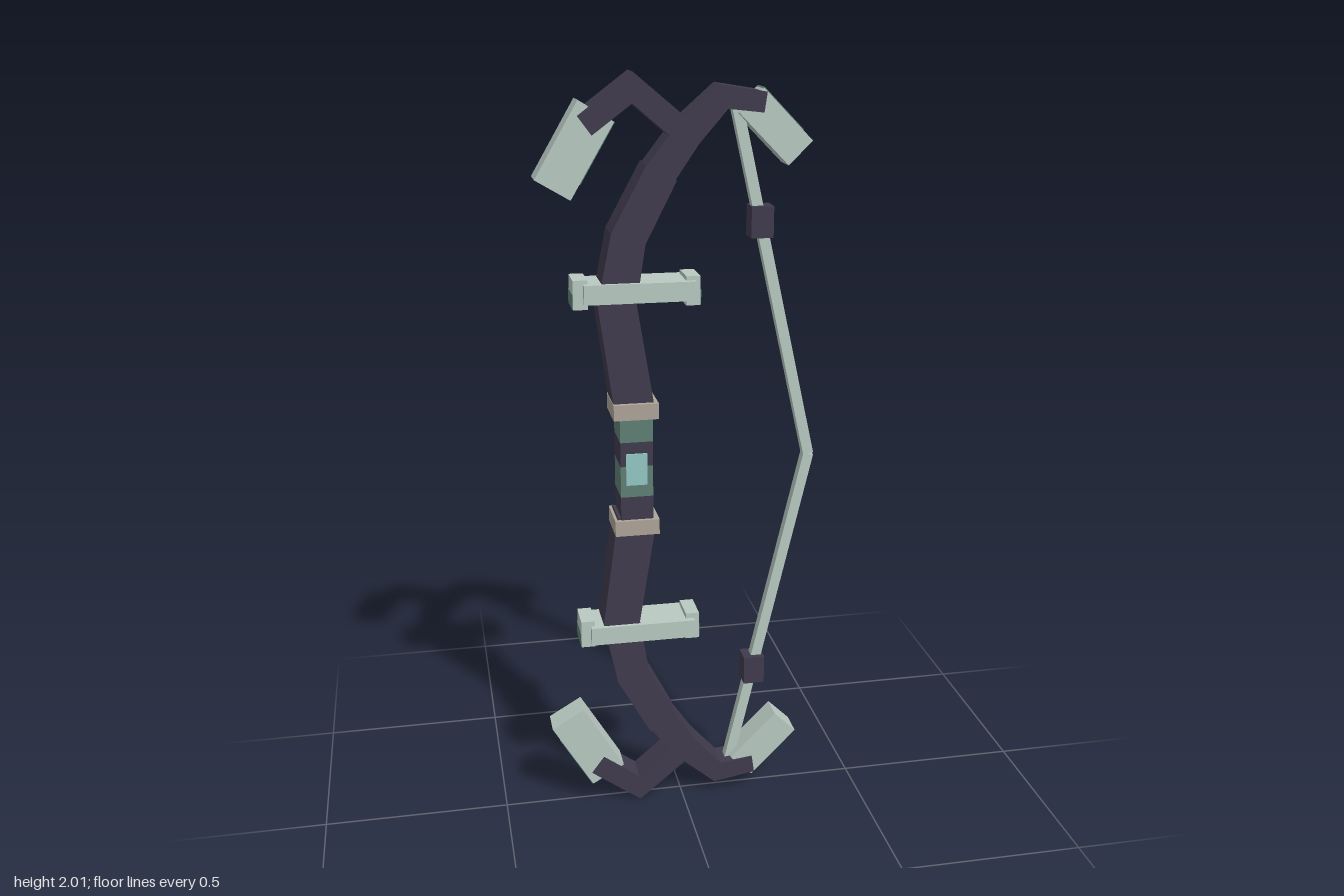
import * as THREE from 'three';

const mat = (name, color) => Object.assign(new THREE.MeshStandardMaterial({ color }), { name });

export function createModel() {
  const dark = mat('dark frame', 0x403b4d);
  const pale = mat('pale plating', 0xb9cac2);
  const green = mat('green trim', 0x5f7f74);
  const beige = mat('beige band', 0xaea598);
  const cyan = mat('cyan gem', 0x93c9c5);
  const bow = new THREE.Group();
  bow.name = 'bow';

  const box = (parent, name, m, x, y, w, h, d, angle = 0) => {
    const mesh = new THREE.Mesh(new THREE.BoxGeometry(w, h, d), m);
    mesh.name = name;
    mesh.position.set(x, y, 0);
    mesh.rotation.z = angle;
    parent.add(mesh);
    return mesh;
  };

  // Square-edged beam along points [x, y, width], with mitred joints
  const beam = (parent, name, pts, depth, m = dark) => {
    const a = [], b = [];
    pts.forEach(([x, y, w], i) => {
      const p = pts[Math.max(i - 1, 0)], q = pts[Math.min(i + 1, pts.length - 1)];
      const d1 = new THREE.Vector2(x - p[0], y - p[1]).normalize();
      const d2 = new THREE.Vector2(q[0] - x, q[1] - y).normalize();
      const t = d1.clone().add(d2).normalize();
      const end = i === 0 || i === pts.length - 1;
      const k = w / 2 / (end ? 1 : t.dot(d1));
      a.push(new THREE.Vector2(x - t.y * k, y + t.x * k));
      b.unshift(new THREE.Vector2(x + t.y * k, y - t.x * k));
    });
    const geo = new THREE.ExtrudeGeometry(new THREE.Shape([...a, ...b]), { depth, bevelEnabled: false });
    geo.translate(0, 0, -depth / 2);
    const mesh = new THREE.Mesh(geo, m);
    mesh.name = name;
    parent.add(mesh);
  };

  // Pale blade between two points; side picks the face carrying the green inlay
  const blade = (parent, name, x1, y1, x2, y2, w, d, side) => {
    const g = new THREE.Group();
    g.name = name;
    const len = Math.hypot(x2 - x1, y2 - y1);
    box(g, name + 'Body', pale, 0, 0, len, w, d);
    box(g, name + 'Inlay', green, -len * 0.1, side * w / 2, len * 0.8, 0.005, d - 0.005);
    g.position.set((x1 + x2) / 2, (y1 + y2) / 2, 0);
    g.rotation.z = Math.atan2(y2 - y1, x2 - x1);
    parent.add(g);
  };

  // Both halves, s = 1 upper and s = -1 lower, mirrored about y = 1
  for (const s of [1, -1]) {
    const half = new THREE.Group();
    half.name = s > 0 ? 'upperHalf' : 'lowerHalf';
    const Y = (y) => 1 + s * (y - 1);
    const path = (pts) => pts.map(([x, y, w]) => [x, Y(y), w]);

    // Curved limb, thinner tip and branching hook
    beam(half, 'limb', path([[-0.125, 1.14, 0.105], [-0.17, 1.44, 0.098],
      [-0.14, 1.605, 0.09], [-0.055, 1.765, 0.085]]), 0.098);
    beam(half, 'limbTip', path([[-0.065, 1.75, 0.08], [0.012, 1.855, 0.072],
      [0.102, 1.943, 0.055], [0.206, 1.928, 0.05]]), 0.084);
    beam(half, 'hook', path([[0.015, 1.85, 0.06], [-0.124, 1.967, 0.058], [-0.242, 1.88, 0.058]]), 0.082);

    // Blades
    blade(half, 'hookBlade', -0.213, Y(1.914), -0.323, Y(1.728), 0.102, 0.076, 1);
    blade(half, 'tipBlade', 0.172, Y(1.932), 0.299, Y(1.803), 0.085, 0.074, s > 0 ? 1 : -1 * -1 * -1);

    // Crossbar with end blocks and trim
    box(half, 'crossbar', pale, -0.112, Y(1.47), 0.285, 0.05, 0.12);
    for (const [x, e] of [[-0.262, -1], [0.026, 1]]) {
      box(half, 'crossbarEnd', pale, x, Y(1.468), 0.037, 0.075, 0.088);
      box(half, 'crossbarTrim', green, x + e * 0.018, Y(1.468) - 0.017, 0.005, 0.038, 0.084);
    }

    // Grip band
    box(half, 'gripBand', beige, -0.126, Y(1.16), 0.118, 0.042, 0.124);

    // String and its bead
    beam(half, 'string', path([[0.142, 1.915, 0.028], [0.35, 1.0, 0.028]]), 0.028, pale);
    box(half, 'stringBead', dark, 0.207, Y(1.632), 0.058, 0.08, 0.058);
    bow.add(half);
  }

  // Grip stack, alternating green and dark
  const grip = [[1.14, 1.076, green], [1.076, 1.01, dark], [1.01, 0.925, green], [0.925, 0.86, dark]];
  for (const [top, bottom, m] of grip) {
    box(bow, 'gripSection', m, -0.125, (top + bottom) / 2, 0.086, top - bottom, 0.104);
  }
  // Gem on both faces
  for (const z of [0.053, -0.053]) {
    box(bow, 'gripGem', cyan, -0.126, 1.002, 0.056, 0.086, 0.008).position.z = z;
  }
  return bow;
}
